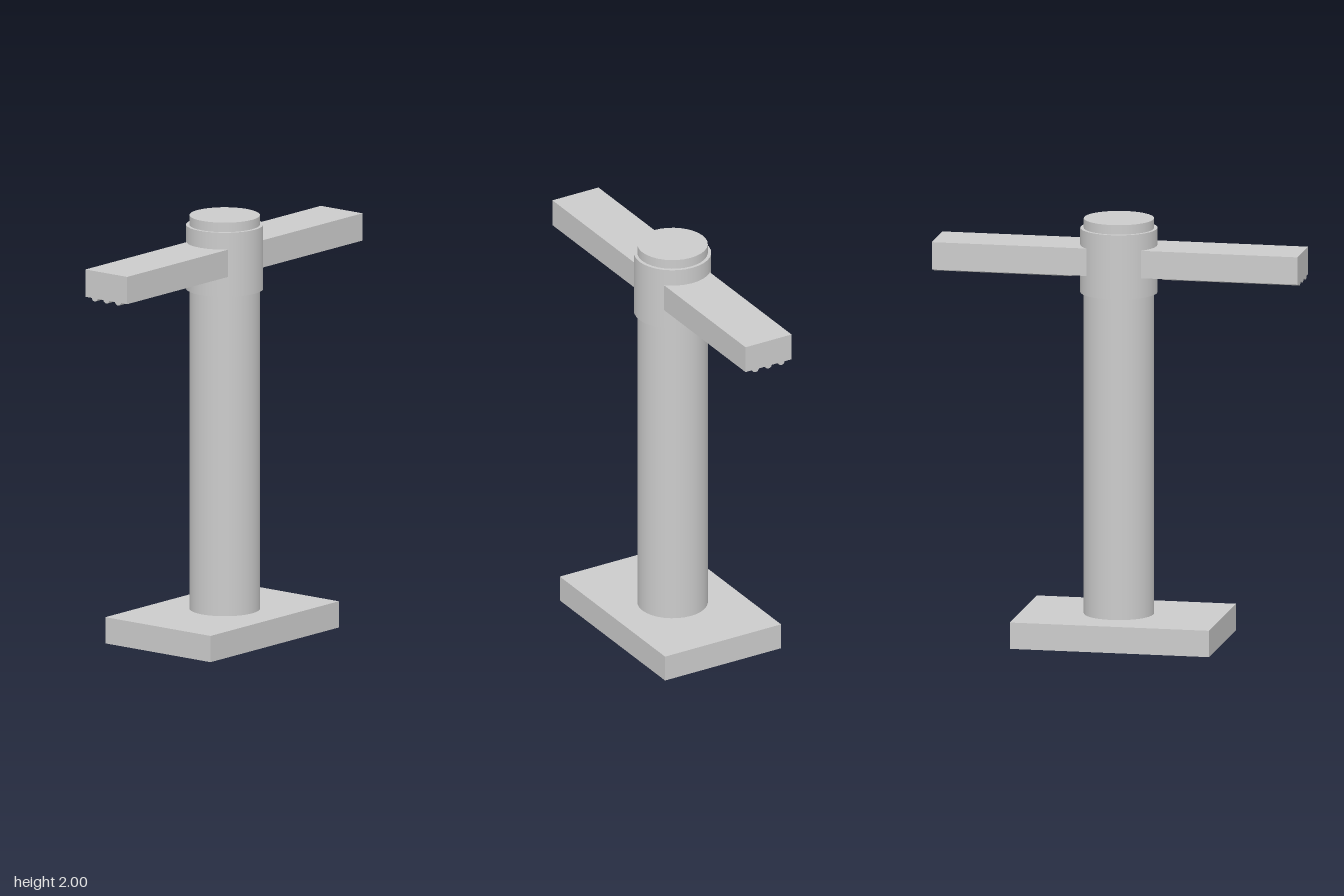
import * as THREE from 'three';

const material = new THREE.MeshStandardMaterial({ color: 0xcccccc });

function part(parent, name, geometry, x, y, z) {
  const mesh = new THREE.Mesh(geometry, material);
  mesh.name = name;
  mesh.position.set(x, y, z);
  parent.add(mesh);
  return mesh;
}

// Upright cylinder between two heights
function post(parent, name, radius, bottom, top) {
  part(parent, name, new THREE.CylinderGeometry(radius, radius, top - bottom, 32), 0.005, (bottom + top) / 2, 0);
}

export function createModel() {
  const model = new THREE.Group();
  model.name = 'lampPost';

  // Foot plate, column and the collar that carries the arms
  part(model, 'base', new THREE.BoxGeometry(0.945, 0.125, 0.63), -0.014, 0.0625, 0);
  post(model, 'column', 0.164, 0.125, 2);
  post(model, 'collar', 0.18, 1.65, 1.955);

  // Two arms, each with three round tubes half sunk into its underside
  for (const side of [-1, 1]) {
    const arm = new THREE.Group();
    arm.name = side > 0 ? 'leftArm' : 'rightArm';
    model.add(arm);

    const inner = 0.1, outer = 0.867;
    part(arm, 'armBeam', new THREE.BoxGeometry(outer - inner, 0.13, 0.25), side * (inner + outer) / 2, 1.81, 0);

    const tubeStart = 0.217;
    for (const z of [-0.07, 0, 0.07]) {
      const tube = new THREE.CylinderGeometry(0.018, 0.018, outer - tubeStart, 16).rotateZ(Math.PI / 2);
      part(arm, 'tube', tube, side * (tubeStart + outer) / 2, 1.748, z);
    }
  }
  return model;
}
